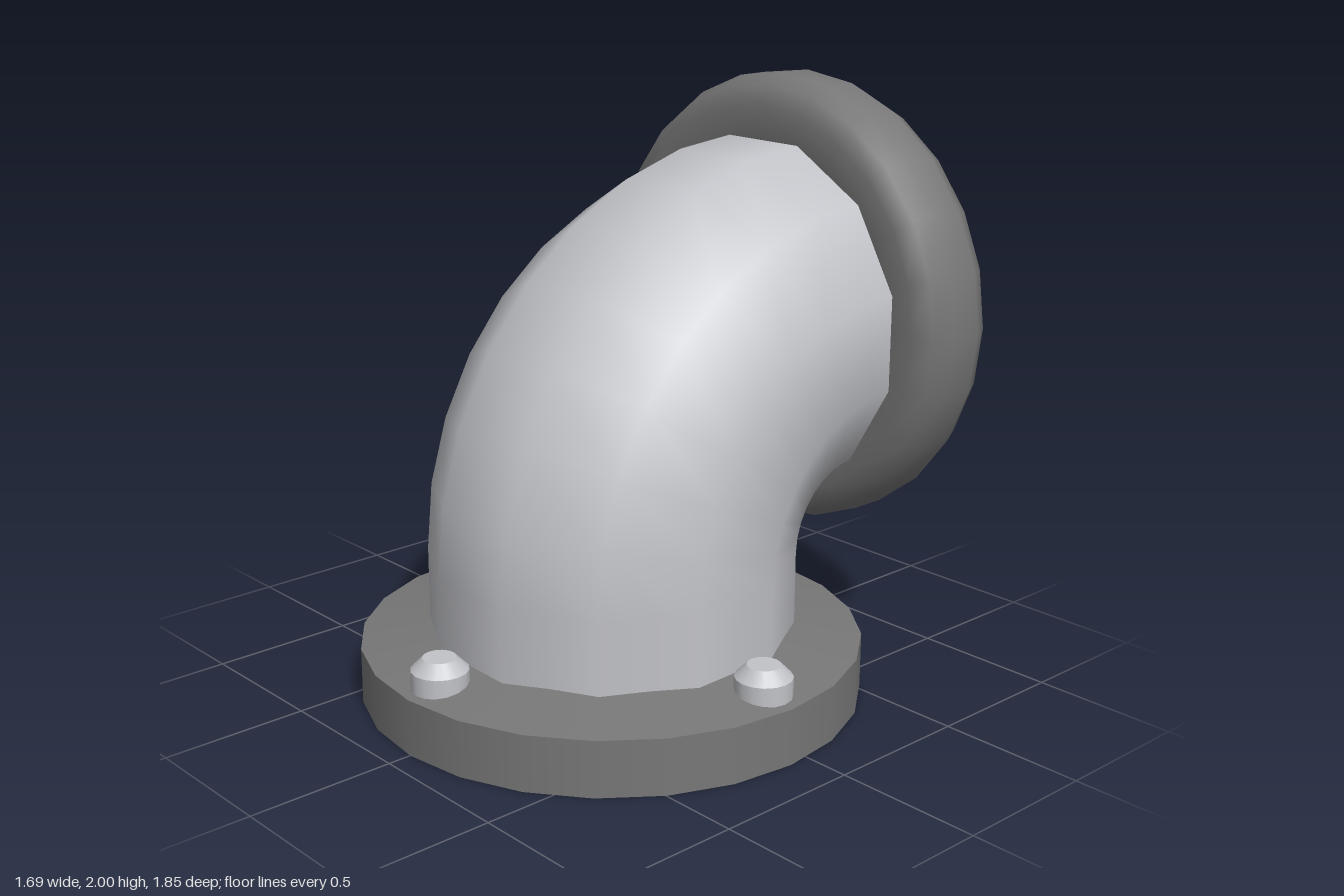
import * as THREE from 'three';
import { ParametricGeometry } from 'three/addons/geometries/ParametricGeometry.js';

const BASE_Z = 0.075;

export function createModel() {
  const lightMetal = new THREE.MeshStandardMaterial({ color: 0xc2c3c8, side: THREE.DoubleSide });
  lightMetal.name = 'light metal';
  const darkMetal = new THREE.MeshStandardMaterial({ color: 0x777777, side: THREE.DoubleSide });
  darkMetal.name = 'dark metal';
  const black = new THREE.MeshStandardMaterial({ color: 0x050505, side: THREE.DoubleSide });
  black.name = 'black opening';

  const model = new THREE.Group();
  model.name = 'pipeElbow';

  const add = (parent, name, geometry, material, x = 0, y = 0, z = 0) => {
    const mesh = new THREE.Mesh(geometry, material);
    mesh.name = name;
    mesh.position.set(x, y, z);
    parent.add(mesh);
    return mesh;
  };
  const lathe = (pts, sides) =>
    new THREE.LatheGeometry(pts.map(([r, y]) => new THREE.Vector2(r, y)), sides);

  // Bent pipe: short straight, eight-step quarter bend, short straight into the rim
  const radius = 0.618, bend = 0.715, bendY = 0.47, bendZ = BASE_Z - bend;
  const pipe = new ParametricGeometry((u, v, target) => {
    const a = Math.PI / 12 - u * Math.PI * 2;
    const t = v * 10;
    const b = THREE.MathUtils.clamp((t - 1) / 8, 0, 1) * Math.PI / 2;
    const drop = Math.max(0, 1 - t) * 0.27;
    const extra = Math.max(0, t - 9) * 0.06;
    const r = bend + radius * Math.sin(a);
    target.set(
      radius * Math.cos(a),
      bendY + r * Math.sin(b) - drop,
      bendZ + r * Math.cos(b) - extra
    );
  }, 12, 10);
  add(model, 'bentPipe', pipe, lightMetal);

  // Hollow base flange: outer wall and gently sloping top
  const flange = new THREE.Group();
  flange.name = 'baseFlange';
  flange.position.z = BASE_Z;
  model.add(flange);
  add(flange, 'flangeWall', lathe([[0.845, 0], [0.845, 0.19]], 24), darkMetal);
  add(flange, 'flangeTop', lathe([[0.845, 0.19], [0.595, 0.23]], 24), darkMetal);

  // Four bolts around the flange, open underneath
  for (let i = 0; i < 4; i++) {
    const a = i * Math.PI / 2;
    const bolt = new THREE.Group();
    bolt.name = 'bolt';
    bolt.position.set(Math.sin(a) * 0.72, 0, Math.cos(a) * 0.72);
    flange.add(bolt);
    add(bolt, 'boltShank', lathe([[0.094, 0.13], [0.094, 0.26]], 16), lightMetal);
    add(bolt, 'boltBevel', lathe([[0.094, 0.26], [0.055, 0.3]], 16), lightMetal);
    add(bolt, 'boltTop', new THREE.CircleGeometry(0.055, 16).rotateX(-Math.PI / 2),
      lightMetal, 0, 0.3, 0);
  }

  // Rounded rim at the mouth of the pipe
  const section = [
    [-0.163, 0], [-0.163, -0.06], [-0.13, -0.128], [-0.06, -0.155],
    [0.06, -0.155], [0.13, -0.128], [0.163, -0.06], [0.163, 0.06],
    [0.13, 0.128], [0.06, 0.155], [-0.06, 0.155], [-0.13, 0.128],
    [-0.163, 0.06], [-0.163, 0],
  ].map(([r, y]) => [0.62 + r, y]);
  add(model, 'mouthRim', lathe(section, 24).rotateX(Math.PI / 2), darkMetal, 0, 1.217, -0.77);

  // Dark disc closing the mouth, facing the back
  add(model, 'mouthOpening', new THREE.CircleGeometry(0.47, 24).rotateY(Math.PI),
    black, 0, 1.217, -0.77);

  return model;
}
